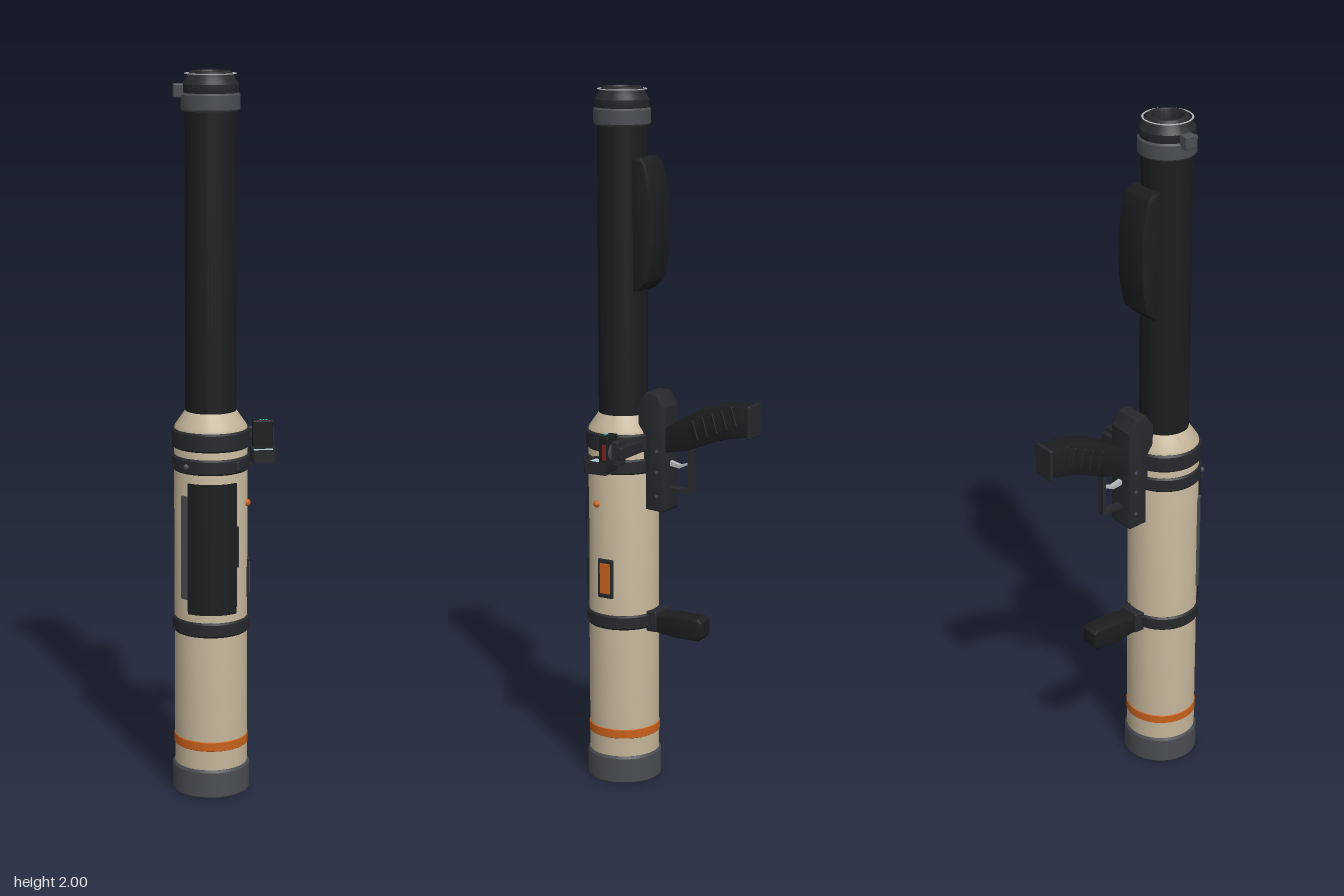
import * as THREE from 'three';
import { toCreasedNormals } from 'three/addons/utils/BufferGeometryUtils.js';
import { RoundedBoxGeometry } from 'three/addons/geometries/RoundedBoxGeometry.js';

const AX = -0.035, AZ = 0.155; // tube axis
const mat = (color, side = THREE.FrontSide) => new THREE.MeshStandardMaterial({ color, side });
const tan = mat(0xc4b59a), black = mat(0x1b1d1f), dark = mat(0x26282c), grey = mat(0x4a4d52);
const orange = mat(0xc8611c), steel = mat(0xb4b8bc), glass = mat(0xa9c8d0), teal = mat(0x2fb5b0);

export function createModel() {
  const root = new THREE.Group();

  const add = (name, geo, m, x = 0, y = 0, z = 0) => {
    const mesh = new THREE.Mesh(geo, m);
    mesh.name = name;
    mesh.position.set(x, y, z);
    root.add(mesh);
    return mesh;
  };
  // surface of revolution around the tube axis, points are [radius, y]
  const turned = (name, pts, m) => add(name,
    toCreasedNormals(new THREE.LatheGeometry(pts.map(p => new THREE.Vector2(...p)), 48), 0.5), m, AX, 0, AZ);
  // collar with chamfered edges
  const collar = (name, r, y0, y1, m, c = 0.005) =>
    turned(name, [[r - 0.02, y0], [r - c, y0], [r, y0 + c], [r, y1 - c], [r - c, y1], [r - 0.02, y1]], m);
  // box given by its limits
  const block = (name, [x0, x1], [y0, y1], [z0, z1], m, r = 0.004) => add(name,
    new RoundedBoxGeometry(x1 - x0, y1 - y0, z1 - z0, 2, r), m, (x0 + x1) / 2, (y0 + y1) / 2, (z0 + z1) / 2);
  // curved plate on the tube; angles run from the front (+z) towards +x
  const plate = (name, r0, r1, a0, a1, y0, y1, m) => {
    const s = new THREE.Shape();
    s.absarc(0, 0, r1, a0 - Math.PI / 2, a1 - Math.PI / 2, false);
    s.absarc(0, 0, r0, a1 - Math.PI / 2, a0 - Math.PI / 2, true);
    const g = new THREE.ExtrudeGeometry(s, { depth: y1 - y0, bevelEnabled: false, curveSegments: 16 });
    g.rotateX(-Math.PI / 2);
    return add(name, toCreasedNormals(g, 0.5), m, AX, y0, AZ);
  };
  // side outline [z, y] extruded across x, centred on the tube axis
  const profile = (name, pts, width, m, bevel = 0.006, holes = []) => {
    const s = new THREE.Shape(pts.map(p => new THREE.Vector2(...p)));
    holes.forEach(h => s.holes.push(new THREE.Path(h.map(p => new THREE.Vector2(...p)))));
    const g = new THREE.ExtrudeGeometry(s, {
      depth: width - 2 * bevel, bevelEnabled: bevel > 0, bevelSize: bevel,
      bevelThickness: bevel, bevelOffset: -bevel, bevelSegments: 2
    });
    g.translate(0, 0, -(width - 2 * bevel) / 2).rotateY(-Math.PI / 2);
    return add(name, toCreasedNormals(g, 0.5), m, AX, 0, 0);
  };

  // Rear tube, shoulder cone and front barrel
  turned('baseCollar', [[0.086, 0.06], [0.086, 0.004], [0.09, 0], [0.103, 0], [0.107, 0.005], [0.107, 0.075],
    [0.103, 0.082], [0.09, 0.082]], grey);
  turned('basePlug', [[0.088, 0.05], [0.045, 0.06], [0.0001, 0.06]], mat(0x303338, THREE.DoubleSide));
  turned('mainTube', [[0.09, 0.06], [0.101, 0.07], [0.101, 1.035], [0.098, 1.045], [0.07, 1.085], [0.06, 1.085]], tan);
  turned('orangeBand', [[0.099, 0.135], [0.103, 0.138], [0.103, 0.162], [0.099, 0.165]], orange);
  collar('lowerBand', 0.107, 0.465, 0.507, dark);
  collar('middleBand', 0.107, 0.922, 0.965, dark);
  collar('upperBand', 0.107, 0.985, 1.037, dark);
  turned('barrel', [[0.06, 1.07], [0.07, 1.08], [0.07, 1.91], [0.06, 1.91]], black);

  // Muzzle
  collar('muzzleRing', 0.08, 1.895, 1.943, grey);
  turned('muzzle', [[0.06, 1.94], [0.074, 1.94], [0.076, 1.946], [0.076, 1.966], [0.07, 1.974], [0.056, 1.998],
    [0.053, 2], [0.046, 2], [0.044, 1.996], [0.044, 1.95], [0.0001, 1.95]], dark);
  const rim = add('muzzleRim', new THREE.TorusGeometry(0.067, 0.003, 6, 48), steel, AX, 1.993, AZ);
  rim.rotation.x = Math.PI / 2;
  rim.scale.z = 0.5;
  block('muzzleLatch', [-0.135, -0.105], [1.93, 1.967], [0.137, 0.174], grey);

  // Plates and buttons on the body
  plate('frontPanel', 0.099, 0.107, -0.71, 0.65, 0.53, 0.897, black);
  plate('frontPanelTab', 0.099, 0.108, 0.65, 0.71, 0.66, 0.775, dark);
  plate('sidePlate', 0.099, 0.108, -0.93, -0.71, 0.57, 0.86, grey);
  block('indicatorFrame', [0.05, 0.07], [0.557, 0.672], [0.133, 0.182], dark);
  block('indicator', [0.06, 0.072], [0.57, 0.66], [0.141, 0.174], orange, 0.002);
  add('button', new THREE.SphereGeometry(0.01, 16, 10), orange, 0.062, 0.83, 0.187);

  // Small studs on the bands
  for (const y of [0.485, 0.944]) for (const s of [-1, 1]) {
    add('bandPin', new THREE.BoxGeometry(0.004, 0.008, 0.008), dark, AX + s * 0.105, y, 0.21);
  }
  add('bandStud', new THREE.SphereGeometry(0.008, 12, 8), grey, -0.108, 0.944, 0.236);
  block('bandClip', [0.026, 0.038], [0.93, 0.958], [0.23, 0.247], dark, 0.002);

  // Padded rest on the barrel
  profile('cheekPad', [[0.095, 1.44], [0.08, 1.44], [0.05, 1.468], [0.037, 1.52], [0.03, 1.58], [0.03, 1.69],
    [0.04, 1.745], [0.055, 1.795], [0.07, 1.81], [0.095, 1.81]], 0.108, black, 0.008);

  // Trigger housing, grip, guard and trigger
  profile('triggerHousing', [[0.08, 0.94], [0.06, 0.93], [0.06, 0.818], [0.004, 0.814], [0, 0.82], [0, 1.115],
    [0.022, 1.155], [0.06, 1.155], [0.085, 1.12]], 0.086, dark, 0.006);
  for (const y of [0.86, 0.93, 0.99]) for (const s of [-1, 1]) {
    const pin = add('housingPin', new THREE.CylinderGeometry(0.005, 0.005, 0.004, 12), grey, AX + s * 0.043, y, 0.022);
    pin.rotation.z = Math.PI / 2;
  }
  profile('grip', [[0.01, 0.985], [0.01, 1.055], [-0.05, 1.09], [-0.11, 1.122], [-0.18, 1.142], [-0.258, 1.142],
    [-0.258, 1.058], [-0.2, 1.048], [-0.14, 1.03], [-0.07, 1]], 0.066, black, 0.008);
  block('gripCap', [-0.07, 0], [1.052, 1.146], [-0.266, -0.254], dark);
  for (let i = 0; i < 5; i++) {
    const rib = block('gripRib', [-0.07, 0], [1.03 + i * 0.013, 1.09 + i * 0.013],
      [-0.098 - i * 0.03, -0.088 - i * 0.03], black, 0.003);
    rib.rotation.x = 0.3;
  }
  profile('triggerGuard', [[0.005, 0.872], [-0.07, 0.872], [-0.07, 0.998], [-0.06, 1.002], [-0.06, 0.882], [0.005, 0.882]],
    0.024, dark, 0);
  profile('trigger', [[0.005, 0.945], [-0.03, 0.94], [-0.055, 0.952], [-0.055, 0.957], [-0.03, 0.95], [0.005, 0.96]],
    0.014, steel, 0);

  // Rear hand stop
  block('handStopMount', [AX - 0.035, AX + 0.035], [0.455, 0.515], [0.03, 0.065], dark);
  profile('handStop', [[0.05, 0.452], [0.05, 0.505], [0.02, 0.507], [-0.02, 0.513], [-0.1, 0.511], [-0.113, 0.5],
    [-0.113, 0.458], [-0.1, 0.445], [-0.02, 0.445], [0.02, 0.452]], 0.06, black, 0.008);

  // Sight on its side arm, with a hooded window looking up the tube
  block('sightArm', [0.0, 0.134], [0.985, 1.02], [0.063, 0.08], dark);
  block('sightMount', [0.087, 0.133], [0.965, 1.035], [0.076, 0.098], dark);
  const knob = add('sightKnob', new THREE.CylinderGeometry(0.026, 0.026, 0.006, 20), grey, 0.112, 1.0, 0.101);
  knob.rotation.x = Math.PI / 2;
  block('sightBody', [0.082, 0.14], [0.945, 1.048], [0.104, 0.134], black);
  block('sightMark', [0.136, 0.142], [0.98, 1.025], [0.11, 0.122], mat(0x7a2420), 0.001);
  for (let i = 0; i < 3; i++) {
    block('sightLight', [0.102 + i * 0.008, 0.107 + i * 0.008], [1.045, 1.05], [0.123, 0.128], teal, 0.001);
  }
  const hood = new THREE.Shape();
  hood.moveTo(0.077, -0.11).lineTo(0.077, -0.177).lineTo(0.083, -0.183).lineTo(0.137, -0.183)
    .lineTo(0.143, -0.177).lineTo(0.143, -0.11);
  hood.holes.push(new THREE.Path([[0.082, -0.134], [0.138, -0.134], [0.138, -0.178], [0.082, -0.178]]
    .map(p => new THREE.Vector2(...p))));
  const hoodGeo = new THREE.ExtrudeGeometry(hood, { depth: 0.036, bevelEnabled: false });
  add('sightHood', hoodGeo.rotateX(-Math.PI / 2), dark, 0, 0.938, 0);
  add('sightWindow', new THREE.BoxGeometry(0.058, 0.006, 0.046), glass, 0.11, 0.965, 0.156);

  return root;
}
